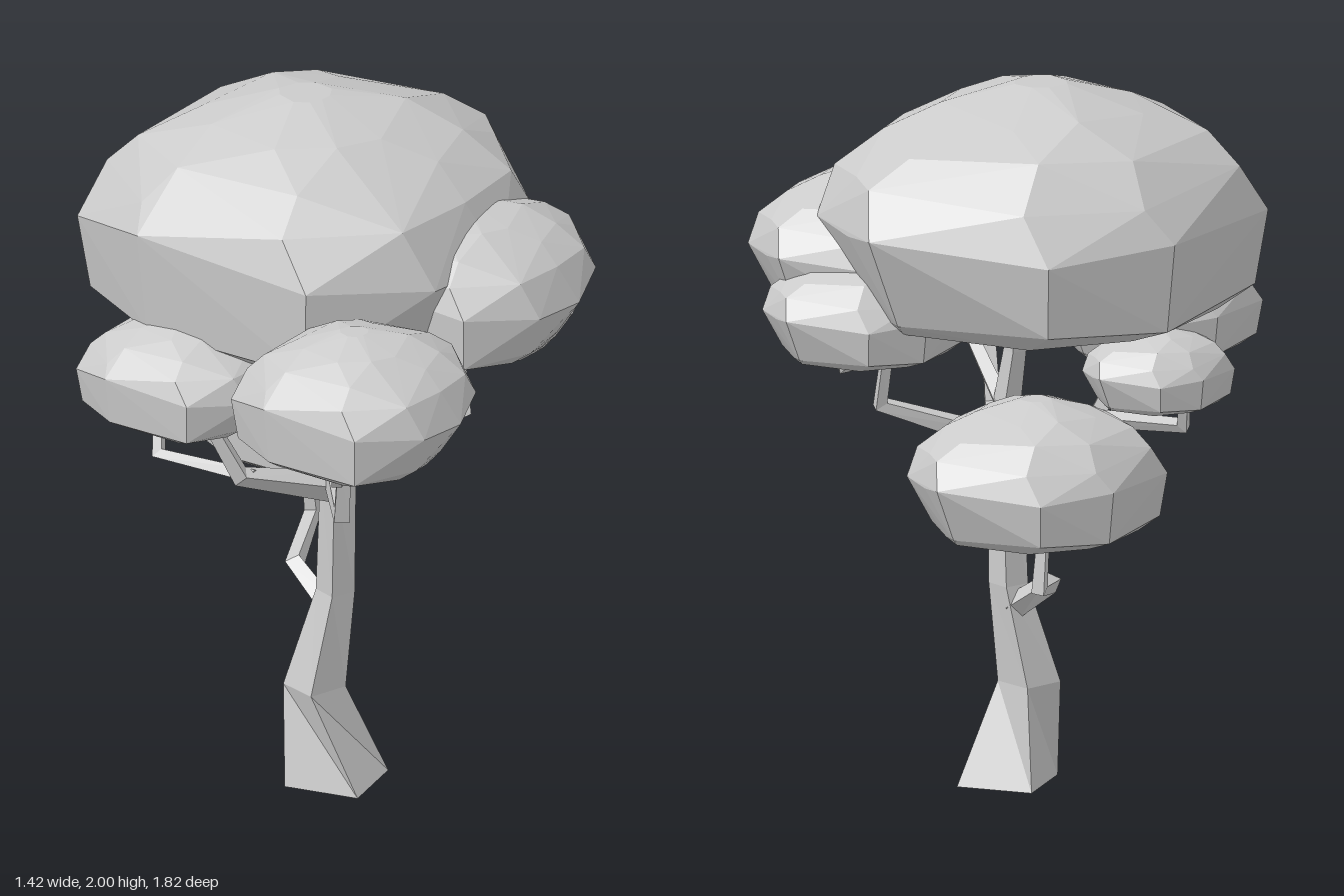
import * as THREE from 'three';
import { ConvexGeometry } from 'three/addons/geometries/ConvexGeometry.js';

const material = new THREE.MeshStandardMaterial({ color: 0xcccccc, flatShading: true });

// Irregular plan outline shared by every leaf clump (x, z at unit radius, lift of the rim)
const outline = [
  [0.02, -1, 0], [0.8, -0.73, 0.02], [0.88, -0.49, 0], [1, -0.11, 0], [0.88, 0.36, -0.04],
  [0.59, 0.8, 0], [0.02, 1, 0], [-0.73, 0.55, 0.12], [-1, 0, 0], [-0.55, -0.76, 0.04],
];
// Rings of the clump: height, radius, twist, inward lean of the left side
const rings = [
  [0, 0.5, 0.2, 0], [0.03, 0.78, 0.1, 0.08], [0.1, 0.94, 0, 0.15], [0.45, 1, 0, 0],
  [0.65, 0.89, 0.12, 0], [0.8, 0.71, 0.05, 0], [0.92, 0.46, 0.3, 0], [1, 0.12, 0.4, 0],
];

function seeded(seed) {
  return () => {
    seed = (seed * 16807) % 2147483647;
    return seed / 2147483647;
  };
}

// Faceted dome with a flattish underside, one unit high
function clumpGeometry() {
  const random = seeded(71);
  const points = [];
  for (const [h, r, twist, lean] of rings) {
    const c = Math.cos(twist), s = Math.sin(twist);
    const wobble = h > 0.05 && h < 1 ? 0.07 : 0;
    for (const [x, z, lift] of outline) {
      const rim = r === 1;
      const k = (r - lean * Math.max(0, x) ** 2) * (rim ? 1 : 1 + (random() - 0.5) * wobble);
      const y = h + (random() - 0.5) * wobble + (rim ? lift : 0);
      points.push(new THREE.Vector3((x * c - z * s) * k, y, (x * s + z * c) * k));
    }
  }
  return new ConvexGeometry(points);
}

// Four-sided tapering limb; each station is [x, y, z, radius, spin]
function limbGeometry(stations, upright = false) {
  const sides = 4;
  const pts = stations.map(([x, y, z]) => new THREE.Vector3(x, y, z));
  const last = pts.length - 1;
  const previous = new THREE.Vector3(0, 1, 0);
  const frame = new THREE.Quaternion();
  const positions = [];
  const index = [];
  pts.forEach((p, i) => {
    if (!upright) {
      const tangent = new THREE.Vector3();
      if (i > 0) tangent.add(p.clone().sub(pts[i - 1]).normalize());
      if (i < last) tangent.add(pts[i + 1].clone().sub(p).normalize());
      tangent.normalize();
      frame.premultiply(new THREE.Quaternion().setFromUnitVectors(previous, tangent));
      previous.copy(tangent);
    }
    const [, , , r, spin = Math.PI / 4] = stations[i];
    for (let j = 0; j < sides; j++) {
      const a = spin + (j / sides) * Math.PI * 2;
      const v = new THREE.Vector3(Math.sin(a) * r, 0, Math.cos(a) * r).applyQuaternion(frame).add(p);
      positions.push(v.x, v.y, v.z);
    }
  });
  for (let i = 0; i < last; i++) {
    for (let j = 0; j < sides; j++) {
      const a = i * sides + j, b = i * sides + ((j + 1) % sides);
      index.push(a, b, a + sides, b, b + sides, a + sides);
    }
  }
  const t = last * sides;
  index.push(0, 2, 1, 0, 3, 2, t, t + 1, t + 2, t, t + 2, t + 3);
  const geometry = new THREE.BufferGeometry();
  geometry.setAttribute('position', new THREE.Float32BufferAttribute(positions, 3));
  geometry.setIndex(index);
  const flat = geometry.toNonIndexed();
  flat.computeVertexNormals();
  return flat;
}

export function createModel() {
  const tree = new THREE.Group();
  tree.name = 'tree';
  const add = (name, geometry) => {
    const mesh = new THREE.Mesh(geometry, material);
    mesh.name = name;
    tree.add(mesh);
    return mesh;
  };

  // Trunk: flared square foot, twisted and kinked to one side, thinning into the crown
  add('trunk', limbGeometry([
    [0, 0, -0.13, 0.153, 0.4], [-0.06, 0.28, -0.125, 0.086, -0.1], [-0.003, 0.56, -0.13, 0.054, -0.15],
    [0.005, 0.92, -0.11, 0.05, -0.2], [0.01, 1.0, -0.115, 0.042, -0.2], [-0.02, 1.22, -0.14, 0.032, -0.2],
    [-0.03, 1.42, -0.16, 0.025, -0.2],
  ], true));

  // Branches and their side twigs
  const limbs = {
    frontBranch: [[0, 0.92, -0.1, 0.045], [0.02, 0.955, 0.28, 0.03], [0.03, 1.18, 0.34, 0.024], [0.01, 1.185, 0.59, 0.02], [0, 1.31, 0.67, 0.015]],
    frontTwig: [[0.03, 1.18, 0.34, 0.02], [0.14, 1.19, 0.34, 0.018], [0.15, 1.36, 0.35, 0.015]],
    upperLeftBranch: [[0.01, 1.06, -0.11, 0.03], [0.08, 1.2, 0, 0.024], [0.18, 1.42, 0.2, 0.018]],
    leftBranch: [[0.01, 0.96, -0.11, 0.04], [0.35, 1.08, -0.17, 0.026], [0.335, 1.22, -0.21, 0.02], [0.34, 1.3, -0.23, 0.015]],
    leftTwig: [[0.335, 1.22, -0.2, 0.015], [0.46, 1.205, -0.27, 0.014], [0.47, 1.29, -0.28, 0.011]],
    rightBranch: [[0, 0.88, -0.1, 0.045], [-0.26, 0.985, 0.08, 0.03], [-0.38, 1.22, 0.1, 0.02]],
    rightTwig: [[-0.22, 0.975, 0.06, 0.026], [-0.485, 0.985, -0.08, 0.024], [-0.485, 1.13, -0.14, 0.018]],
    backBranch: [[-0.02, 0.5, -0.15, 0.036], [-0.115, 0.59, -0.25, 0.03], [-0.07, 0.635, -0.5, 0.025], [-0.08, 0.77, -0.485, 0.02], [-0.08, 0.88, -0.55, 0.015]],
    backTwig: [[-0.08, 0.76, -0.485, 0.017], [-0.07, 0.87, -0.42, 0.013]],
  };
  for (const [name, stations] of Object.entries(limbs)) add(name, limbGeometry(stations));

  // Leaf clumps: base centre, radius, height
  const clump = clumpGeometry();
  const clumps = {
    crownLeaves: [-0.09, 1.345, -0.22, 0.62, 0.655],
    frontLeaves: [0.055, 1.27, 0.58, 0.335, 0.36],
    upperLeftLeaves: [0.345, 1.345, -0.08, 0.365, 0.395],
    lowerLeftLeaves: [0.395, 1.25, -0.28, 0.285, 0.3],
    upperRightLeaves: [-0.41, 1.17, 0.07, 0.3, 0.295],
    lowerRightLeaves: [-0.41, 1.08, -0.2, 0.21, 0.22],
    backLeaves: [-0.06, 0.81, -0.55, 0.358, 0.38],
  };
  for (const [name, [x, y, z, radius, height]] of Object.entries(clumps)) {
    const mesh = add(name, clump);
    mesh.position.set(x, y, z);
    mesh.scale.set(radius, height, radius);
  }
  return tree;
}
